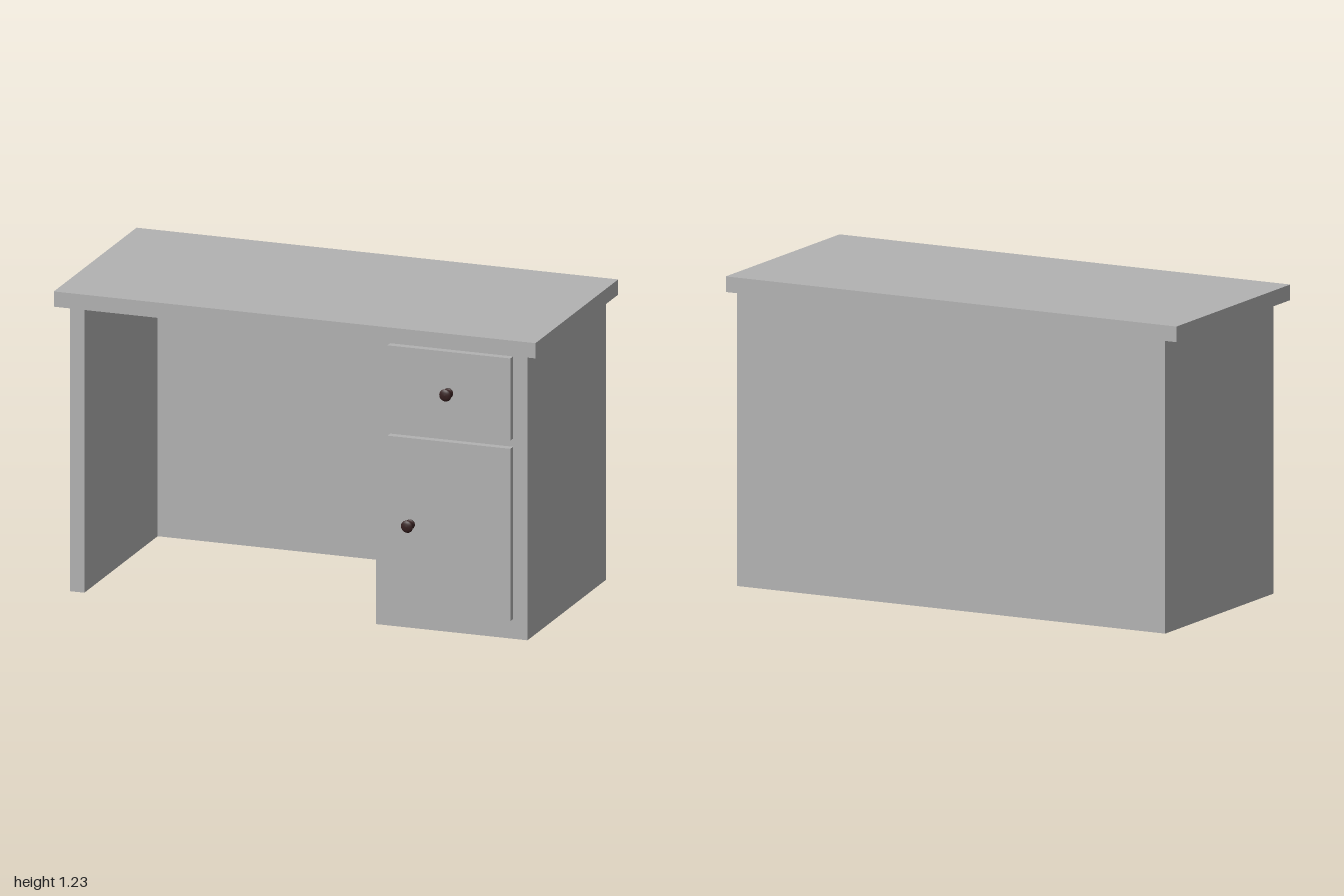
import * as THREE from 'three';

export function createModel() {
  const desk = new THREE.Group();
  desk.name = 'desk';

  const paint = new THREE.MeshStandardMaterial({ color: 0xb2b2b2 });
  paint.name = 'grey paint';
  const dark = new THREE.MeshStandardMaterial({ color: 0x351f1f });
  dark.name = 'dark brown knob';

  // Box given by its lower and upper limits on each axis
  const box = (name, [x0, x1], [y0, y1], [z0, z1]) => {
    const mesh = new THREE.Mesh(new THREE.BoxGeometry(x1 - x0, y1 - y0, z1 - z0), paint);
    mesh.name = name;
    mesh.position.set((x0 + x1) / 2, (y0 + y1) / 2, (z0 + z1) / 2);
    desk.add(mesh);
  };

  const back = -0.475, front = 0.4, under = 1.163;

  // Carcass
  box('desktop', [-1, 1], [under, 1.225], [back, 0.445]);
  box('sidePanel', [-0.95, -0.89], [0, under], [back, front]);
  box('backPanel', [-0.89, 0.32], [0, under], [back, back + 0.06]);
  box('cabinet', [0.32, 0.95], [0, under], [back, front]);

  // Raised fronts
  box('drawerFront', [0.38, 0.89], [0.813, 1.147], [front, 0.43]);
  box('doorFront', [0.38, 0.89], [0.08, 0.78], [front, 0.43]);

  // Turned knobs, profile running outwards from the front
  const profile = [
    [0, 0], [0.02, 0], [0.019, 0.004], [0.013, 0.007], [0.012, 0.026],
    [0.022, 0.031], [0.025, 0.036], [0.022, 0.042], [0.012, 0.045], [0, 0.046],
  ].map(([r, h]) => new THREE.Vector2(r, h));
  const knobGeometry = new THREE.LatheGeometry(profile, 20).rotateX(Math.PI / 2);
  for (const [name, x, y] of [['drawerKnob', 0.633, 0.98], ['doorKnob', 0.474, 0.43]]) {
    const knob = new THREE.Mesh(knobGeometry, dark);
    knob.name = name;
    knob.position.set(x, y, 0.43);
    desk.add(knob);
  }

  return desk;
}
